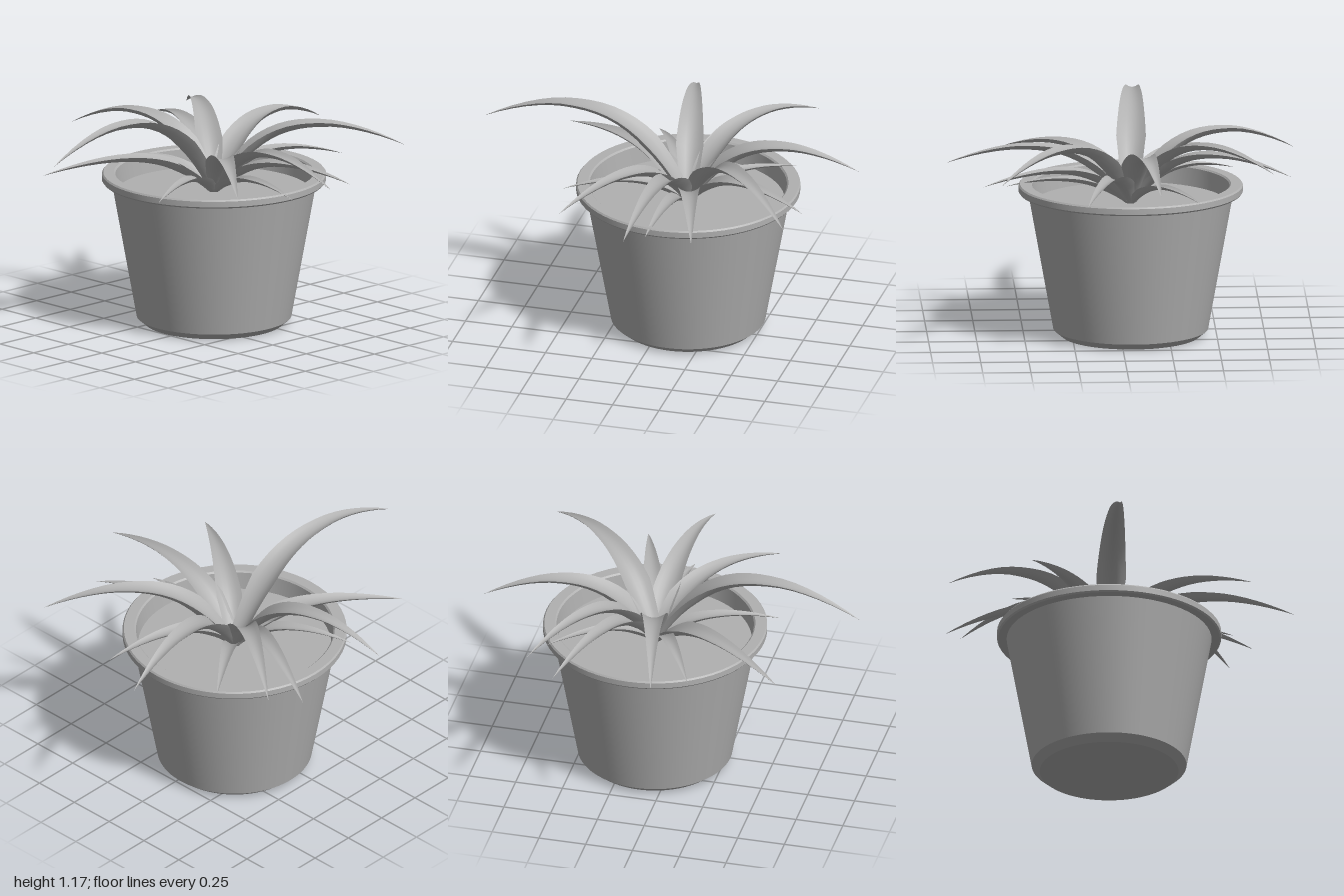
import * as THREE from 'three';
import { toCreasedNormals } from 'three/addons/utils/BufferGeometryUtils.js';

const CX = -0.055, CZ = -0.115, SOIL = 0.70;

// Leaf: tip x, y, z, highest y, where along its reach it is highest, width
const LEAVES = [
  // long upper leaves
  [-0.11, 1.02, 0.995, 1.155, 0.6, 0.155],
  [0.645, 0.95, -0.82, 1.06, 0.58, 0.15],
  [-0.915, 0.945, 0.075, 1.06, 0.6, 0.145],
  [-0.78, 0.955, -0.62, 1.05, 0.6, 0.14],
  [-0.18, 0.92, -1.0, 1.03, 0.58, 0.155],
  // middle leaves
  [0.905, 0.90, -0.03, 0.99, 0.58, 0.14],
  [-0.875, 0.905, -0.46, 0.985, 0.58, 0.13],
  [0.64, 0.88, 0.39, 0.97, 0.55, 0.135],
  [-0.54, 0.83, 0.655, 0.895, 0.55, 0.14],
  [0.72, 0.84, -0.345, 0.895, 0.58, 0.125],
  [0.195, 0.825, -0.80, 0.89, 0.55, 0.12],
  // short low leaves
  [-0.605, 0.815, 0.195, 0.86, 0.6, 0.1],
  [0.165, 0.79, 0.50, 0.83, 0.6, 0.1],
  [0.59, 0.78, -0.06, 0.82, 0.6, 0.1],
  [-0.40, 0.80, -0.61, 0.83, 0.6, 0.09],
];

// Arching, tapering leaf with a channelled top sheet and a rounded under sheet
function leafGeometry([tx, ty, tz, peakY, peakAt, width]) {
  const dx = tx - CX, dz = tz - CZ, reach = Math.hypot(dx, dz);
  const ROWS = 20, COLS = 6, baseY = SOIL - 0.01;
  const point = (s) => {
    const y = s < peakAt
      ? baseY + (peakY - baseY) * (1 - Math.pow(1 - s / peakAt, 2.6))
      : peakY - (peakY - ty) * Math.pow((s - peakAt) / (1 - peakAt), 1.7);
    return new THREE.Vector3(CX + dx * s, y, CZ + dz * s);
  };
  const side = new THREE.Vector3(dz / reach, 0, -dx / reach);
  const positions = [], index = [];
  for (const under of [false, true]) {
    const start = positions.length / 3;
    for (let i = 0; i <= ROWS; i++) {
      const s = 0.015 + 0.985 * Math.pow(i / ROWS, 1.4);
      const p = point(s);
      const tangent = point(Math.min(1, s + 0.005)).sub(point(s - 0.005)).normalize();
      const normal = tangent.clone().cross(side);
      const half = width / 2 * (s < 0.2 ? 0.55 + 2.25 * s : Math.pow((1 - s) / 0.8, 0.9));
      for (let j = 0; j <= COLS; j++) {
        const u = j / COLS * 2 - 1;
        const lift = half * (0.4 * u * u - (under ? 0.3 * (1 - u * u) : 0));
        const v = p.clone().addScaledVector(side, u * half).addScaledVector(normal, lift);
        positions.push(v.x, v.y, v.z);
      }
    }
    for (let i = 0; i < ROWS; i++) {
      for (let j = 0; j < COLS; j++) {
        const a = start + i * (COLS + 1) + j, b = a + COLS + 1;
        if (under) index.push(a, a + 1, b, b, a + 1, b + 1);
        else index.push(a, b, a + 1, b, b + 1, a + 1);
      }
    }
  }
  const geometry = new THREE.BufferGeometry();
  geometry.setAttribute('position', new THREE.Float32BufferAttribute(positions, 3));
  geometry.setIndex(index);
  geometry.computeVertexNormals();
  return geometry;
}

export function createModel() {
  const group = new THREE.Group();
  const grey = new THREE.MeshStandardMaterial({ color: 0xb0b0b0, side: THREE.DoubleSide });
  grey.name = 'plain grey';

  const add = (name, geometry, parent = group) => {
    const mesh = new THREE.Mesh(geometry, grey);
    mesh.name = name;
    parent.add(mesh);
    return mesh;
  };

  // Pot: chamfered base, tapered wall, overhanging rim and inner wall
  const profile = [
    [0, 0], [0.36, 0], [0.402, 0.035], [0.532, 0.755], [0.575, 0.757],
    [0.582, 0.765], [0.582, 0.795], [0.575, 0.803], [0.52, 0.803],
    [0.512, 0.795], [0.5, SOIL - 0.02],
  ].map(([r, y]) => new THREE.Vector2(r, y));
  const pot = add('pot', toCreasedNormals(new THREE.LatheGeometry(profile, 64), 0.5));
  pot.position.set(CX, 0, CZ);

  // Soil surface
  const soil = add('soil', new THREE.CircleGeometry(0.51, 64).rotateX(-Math.PI / 2));
  soil.position.set(CX, SOIL, CZ);

  // Rosette of leaves
  const rosette = new THREE.Group();
  rosette.name = 'leaves';
  group.add(rosette);
  LEAVES.forEach((leaf, i) => add('leaf' + (i + 1), leafGeometry(leaf), rosette));

  return group;
}
